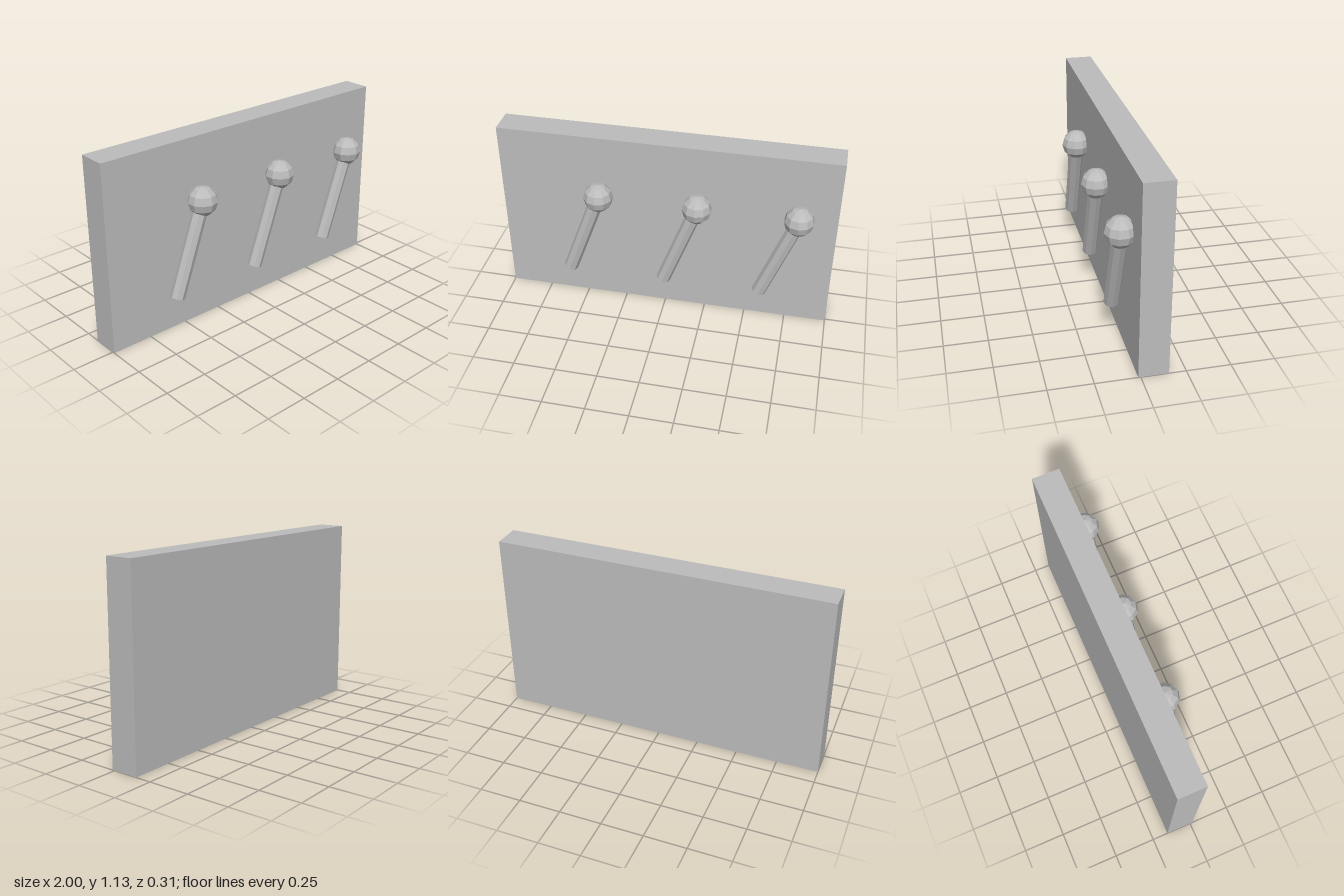
import * as THREE from 'three';

export function createModel() {
  const model = new THREE.Group();
  model.name = 'leverPanel';

  const grey = new THREE.MeshStandardMaterial({ color: 0xbcbcbc, flatShading: true });
  grey.name = 'plainGrey';

  const addMesh = (parent, name, geometry) => {
    const mesh = new THREE.Mesh(geometry, grey);
    mesh.name = name;
    parent.add(mesh);
    return mesh;
  };

  // Upright panel
  addMesh(model, 'panel', new THREE.BoxGeometry(2, 1.13, 0.168)).position.set(0, 0.565, -0.07);

  // Ten-sided knob, with corners facing front and back
  const knobGeometry = new THREE.SphereGeometry(0.0878, 10, 6).rotateY(Math.PI / 2);

  // Eight-sided rod hanging from the knob centre, leaning to one side
  const rodLength = 0.58;
  const rodGeometry = new THREE.CylinderGeometry(0.0437, 0.0437, rodLength, 8)
    .translate(0, -rodLength / 2, 0)
    .rotateZ(-THREE.MathUtils.degToRad(20));

  // Three identical levers in a row
  for (let i = 0; i < 3; i++) {
    const lever = new THREE.Group();
    lever.name = `lever${i + 1}`;
    lever.position.set(-0.392 + i * 0.587, 0.763, 0.066);
    addMesh(lever, 'knob', knobGeometry);
    addMesh(lever, 'rod', rodGeometry);
    model.add(lever);
  }

  return model;
}
